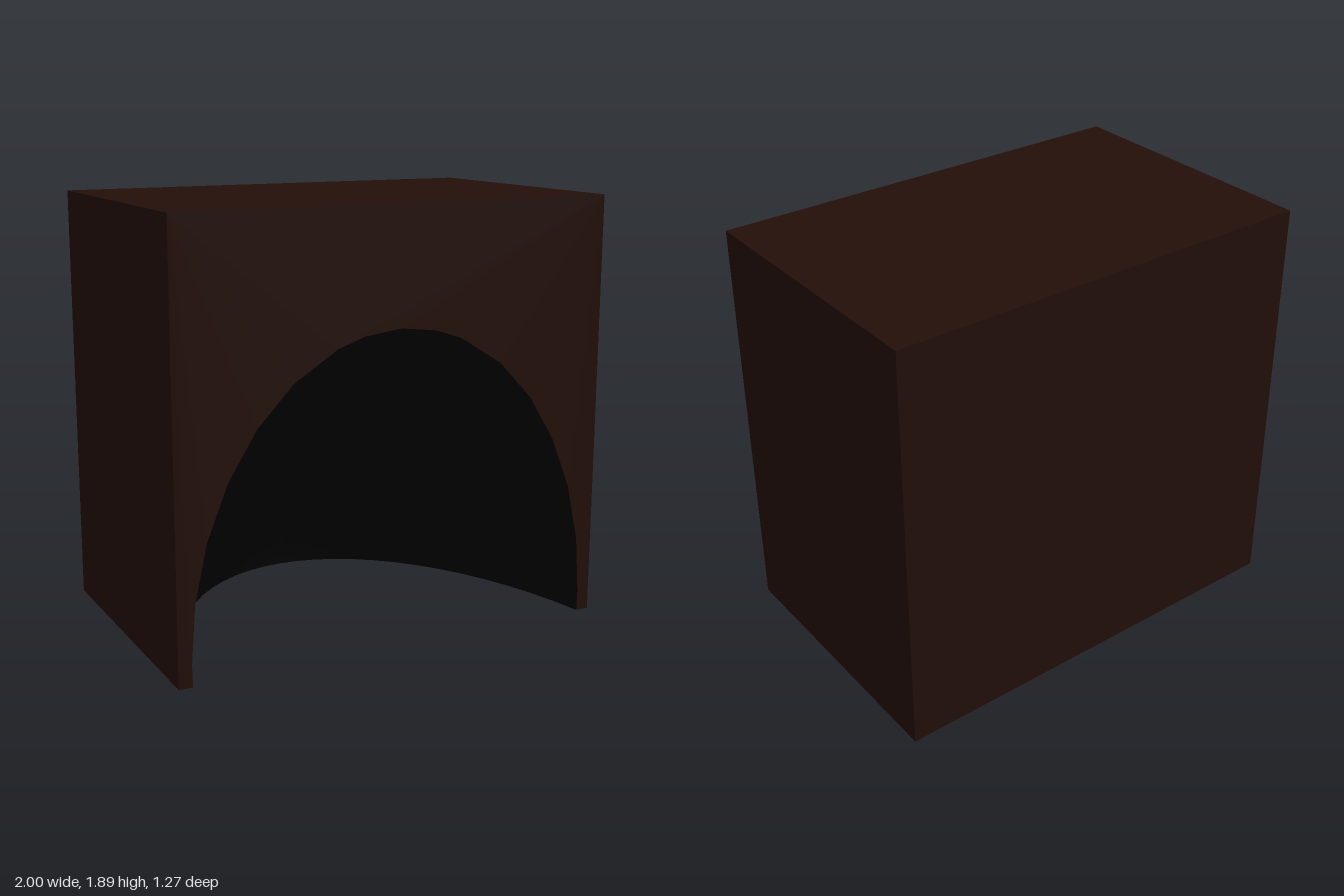
import * as THREE from 'three';

const H = 1.89, D = 0.635;                 // height, half depth
const RX = 0.97, RY = 1.33, RZ = 1.58;     // radii of the hollow's ellipsoid
const CY = 0.09, CUT = 0.24;               // its centre height, and how far in front of the wall it sits (in RZ)
const STEPS = 28;

export function createModel() {
  const group = new THREE.Group();
  const shell = new THREE.MeshStandardMaterial({ color: 0x230f08 });
  const lining = new THREE.MeshStandardMaterial({ color: 0x000000 });
  const add = (name, geometry, material = shell) => {
    const mesh = new THREE.Mesh(geometry, material);
    mesh.name = name;
    group.add(mesh);
  };

  // Level rings of the hollow, from the crown of the arch down to the ground
  const rings = [Math.asin(CUT), 0.3];
  for (let k = 2; k <= 8; k++) rings.push((k * Math.PI) / 16);
  rings.push(Math.PI / 2 + Math.asin(CY / RY));

  // Point on a ring, u running from the right foot (0) round the back to the left foot (1)
  const hollowPoint = (angle, u) => {
    const r = Math.sin(angle);
    const start = Math.asin(Math.min(1, CUT / r));
    const t = Math.PI - start - u * (Math.PI - 2 * start);
    return new THREE.Vector3(
      RX * r * Math.cos(t), CY + RY * Math.cos(angle), D - RZ * (r * Math.sin(t) - CUT));
  };

  // Domed hollow, facing inwards
  const hollow = new THREE.PlaneGeometry(1, 1, STEPS, rings.length - 1);
  rings.forEach((angle, row) => {
    for (let i = 0; i <= STEPS; i++) {
      const p = hollowPoint(angle, i / STEPS);
      hollow.attributes.position.setXYZ(row * (STEPS + 1) + i, p.x, p.y, p.z);
    }
  });
  hollow.computeVertexNormals();
  add('hollow', hollow, lining);

  // Front wall with the arch cut out
  const arch = rings.map((angle) => hollowPoint(angle, 1)).map((p) => new THREE.Vector2(p.x, p.y));
  const mirrored = arch.slice(1).reverse().map((p) => new THREE.Vector2(-p.x, p.y));
  add('frontWall', new THREE.ShapeGeometry(new THREE.Shape([
    new THREE.Vector2(1, 0), new THREE.Vector2(1, H),
    new THREE.Vector2(-1, H), new THREE.Vector2(-1, 0),
    ...mirrored, ...arch,
  ])).translate(0, 0, D));

  // Underside with the curved floor opening
  const opening = [];
  for (let i = STEPS; i >= 0; i--) {
    const p = hollowPoint(rings.at(-1), i / STEPS);
    opening.push(new THREE.Vector2(p.x, p.z));
  }
  add('underside', new THREE.ShapeGeometry(new THREE.Shape([
    new THREE.Vector2(-1, D), new THREE.Vector2(-1, -D),
    new THREE.Vector2(1, -D), new THREE.Vector2(1, D), ...opening,
  ])).rotateX(Math.PI / 2));

  // Plain outer walls
  add('roof', new THREE.PlaneGeometry(2, 2 * D).rotateX(-Math.PI / 2).translate(0, H, 0));
  add('backWall', new THREE.PlaneGeometry(2, H).rotateY(Math.PI).translate(0, H / 2, -D));
  for (const [name, s] of [['leftWall', 1], ['rightWall', -1]]) {
    add(name, new THREE.PlaneGeometry(2 * D, H).rotateY(s * Math.PI / 2).translate(s, H / 2, 0));
  }
  return group;
}
